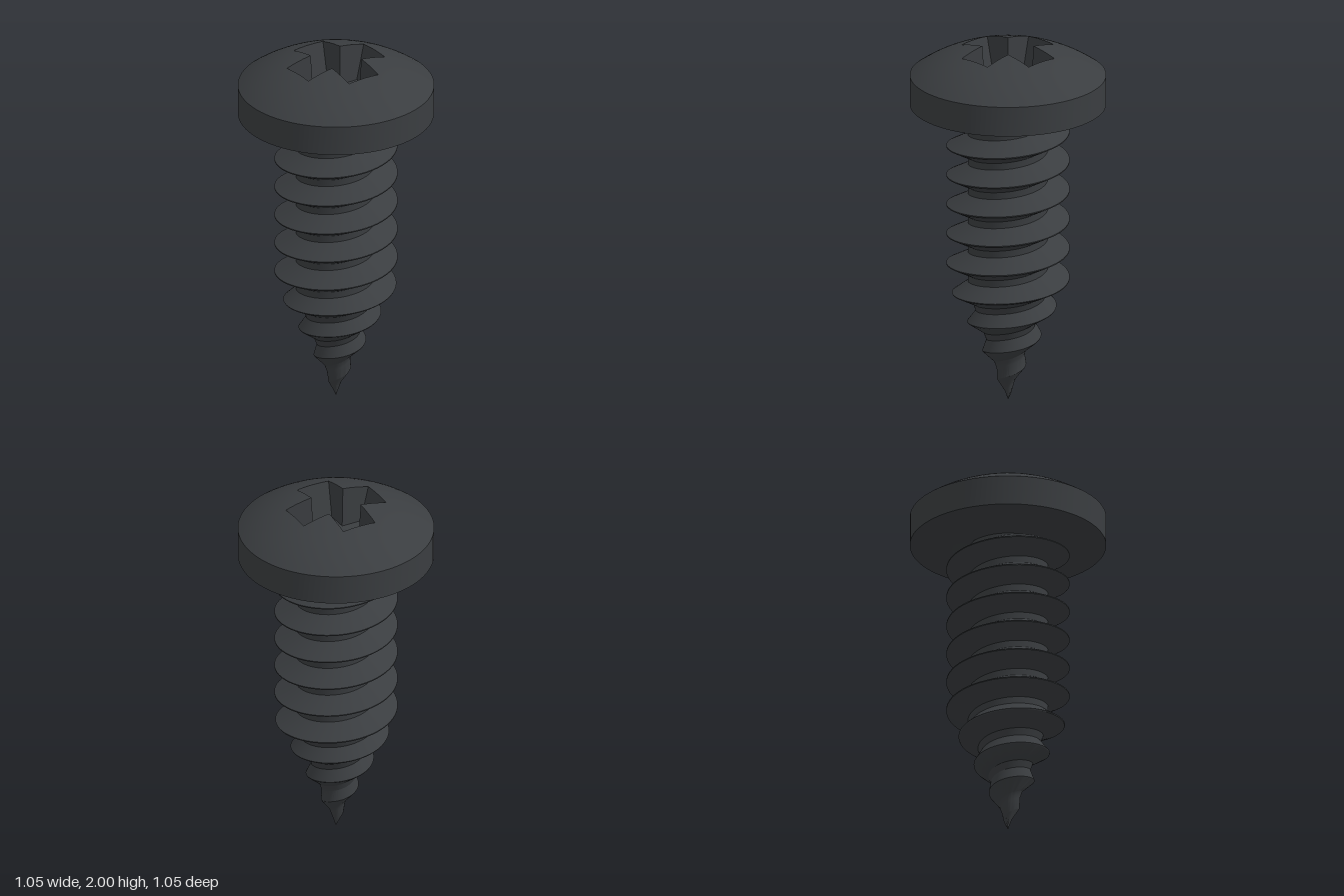
import * as THREE from 'three';
import { toCreasedNormals } from 'three/addons/utils/BufferGeometryUtils.js';

const { lerp, clamp } = THREE.MathUtils;
const material = new THREE.MeshStandardMaterial({ color: 0x3a3d40 });

const HEAD_R = 0.525, HEAD_BOTTOM = 1.675, RIM_TOP = 1.84, APEX = 2.013;
const SAG = APEX - RIM_TOP;
const DOME_R = (HEAD_R ** 2 + SAG ** 2) / (2 * SAG);
const domeY = (r) => APEX - DOME_R + Math.sqrt(DOME_R ** 2 - r ** 2);

// Skin over rows of [x, y, z] points; columns run upward on an outer wall
function skin(name, rows, crease) {
  const n = rows[0].length, index = [];
  for (let i = 0; i < rows.length - 1; i++) {
    for (let j = 0; j < n - 1; j++) {
      const a = i * n + j, b = a + 1, c = a + n, d = c + 1;
      index.push(a, b, c, b, d, c);
    }
  }
  const geo = new THREE.BufferGeometry();
  geo.setAttribute('position', new THREE.Float32BufferAttribute(rows.flat(2), 3));
  geo.setIndex(index);
  const mesh = new THREE.Mesh(toCreasedNormals(geo, crease), material);
  mesh.name = name;
  return mesh;
}

// Outline of a cross with arm half-length l and half-width w, turning from +x to +z
function crossOutline(l, w) {
  const points = [];
  for (let k = 0; k < 4; k++) {
    const c = [1, 0, -1, 0][k], s = [0, 1, 0, -1][k];
    const edges = [[l, -w, l, w, 10], [l, w, w, w, 7], [w, w, w, l, 7]];
    for (const [x0, z0, x1, z1, steps] of edges) {
      for (let i = 0; i < steps; i++) {
        const x = lerp(x0, x1, i / steps), z = lerp(z0, z1, i / steps);
        points.push([x * c - z * s, x * s + z * c]);
      }
    }
  }
  points.push([...points[0]]);
  return points;
}

// Domed head: underside, rim wall, then dome in to the cross-shaped opening
function makeHead(top) {
  const steps = 12;
  const rows = top.map(([x, z]) => {
    const r0 = Math.hypot(x, z), c = x / r0, s = z / r0;
    const row = [[0, HEAD_BOTTOM, 0], [HEAD_R * c, HEAD_BOTTOM, HEAD_R * s]];
    for (let i = 0; i <= steps; i++) {
      const r = lerp(HEAD_R, r0, i / steps);
      row.push([r * c, domeY(r), r * s]);
    }
    return row;
  });
  return skin('head', rows, 0.4);
}

// Cross recess: tapered walls, flat floor and a shallow conical centre
function makeRecess(top) {
  const floorY = 1.78, coneR = 0.095;
  const floor = crossOutline(0.2, 0.087);
  const rows = top.map(([x, z], i) => {
    const [fx, fz] = floor[i], f = coneR / Math.hypot(fx, fz);
    return [
      [x, domeY(Math.hypot(x, z)), z],
      [fx, floorY, fz],
      [fx * f, floorY, fz * f],
      [0, floorY - 0.045, 0],
    ];
  });
  return skin('driveRecess', rows, 0.35);
}

// Shank with a helical V thread, tapering to a point
function makeThread() {
  const pitch = 0.166, segments = 56, peakY = 1.502 + 2 * pitch, turns = 12;
  const coreR = (y) => Math.min(0.215, 0.34 * y);
  const crestR = (y) => Math.min(0.33, 0.49 * y);
  // [height within one pitch, share of thread depth]
  const profile = [[-pitch / 2, 0], [-0.064, 0], [-0.003, 1], [0.003, 1], [0.064, 0], [pitch / 2, 0]];
  const rows = [];
  for (let i = 0; i <= turns * segments; i++) {
    const u = i / segments, angle = (i % segments) / segments * Math.PI * 2;
    rows.push(profile.map(([dy, depth]) => {
      const y = clamp(peakY - pitch * u + dy, 0, HEAD_BOTTOM + 0.005);
      const r = lerp(coreR(y), crestR(y), depth);
      return [r * Math.cos(angle), y, r * Math.sin(angle)];
    }));
  }
  return skin('threadedShank', rows, 0.5);
}

export function createModel() {
  const group = new THREE.Group();
  group.name = 'screw';
  const top = crossOutline(0.253, 0.097);
  group.add(makeHead(top), makeRecess(top), makeThread());

  // Thin flare where the thread runs out under the head
  const flare = new THREE.Mesh(new THREE.CylinderGeometry(0.33, 0.22, 0.03, 64, 1, true), material);
  flare.name = 'threadRunout';
  flare.position.y = HEAD_BOTTOM - 0.015;
  group.add(flare);
  return group;
}
